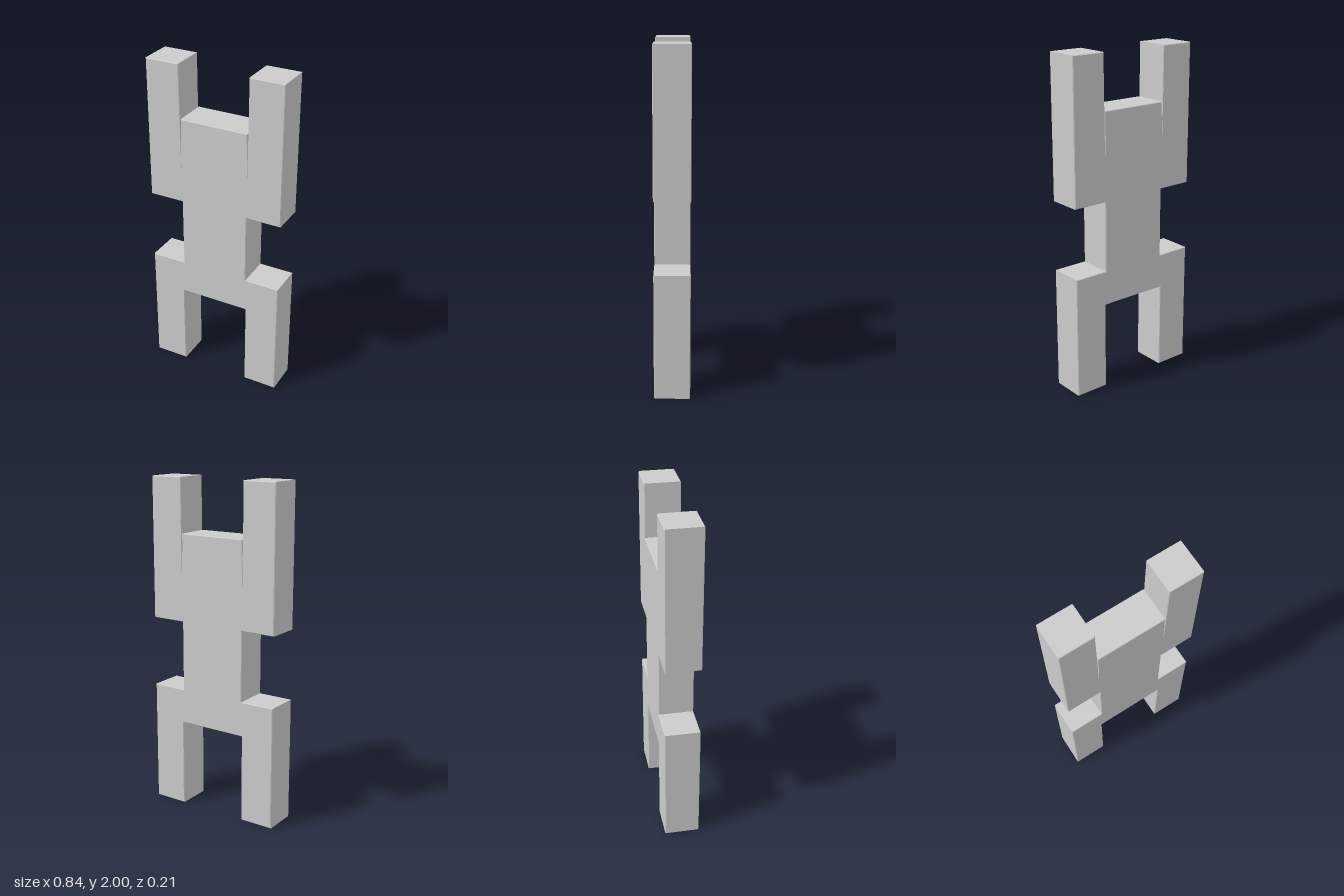
import * as THREE from 'three';

const BEVEL = 0.004;
const THICKNESS = 0.208;

// Left half of the blocky figure's outline, from crotch up to shoulder
const HALF_OUTLINE = [
  [0.212, 0.53], [0.212, 0], [0.419, 0], [0.419, 0.74],   // leg
  [0.208, 0.74], [0.208, 1.16],                           // waist
  [0.419, 1.16], [0.419, 2], [0.213, 2],                  // raised arm
  [0.21, 1.38], [0.207, 1.68],                            // thin slit beside the head
];

export function createModel() {
  const group = new THREE.Group();
  group.name = 'blockFigure';

  // Mirror the half outline to close the silhouette
  const mirrored = HALF_OUTLINE.map(([x, y]) => [-x, y]).reverse();
  const outline = [...HALF_OUTLINE, ...mirrored].map(([x, y]) => new THREE.Vector2(x, y));

  // One slab with finely chamfered front and back edges
  const geometry = new THREE.ExtrudeGeometry(new THREE.Shape(outline), {
    depth: THICKNESS - 2 * BEVEL,
    bevelEnabled: true,
    bevelSize: BEVEL,
    bevelThickness: BEVEL,
    bevelOffset: -BEVEL,
    bevelSegments: 1,
  });
  geometry.translate(0, 0, -THICKNESS / 2 + BEVEL);

  const body = new THREE.Mesh(geometry, new THREE.MeshStandardMaterial({ color: 0xcccccc }));
  body.name = 'body';
  group.add(body);
  return group;
}
